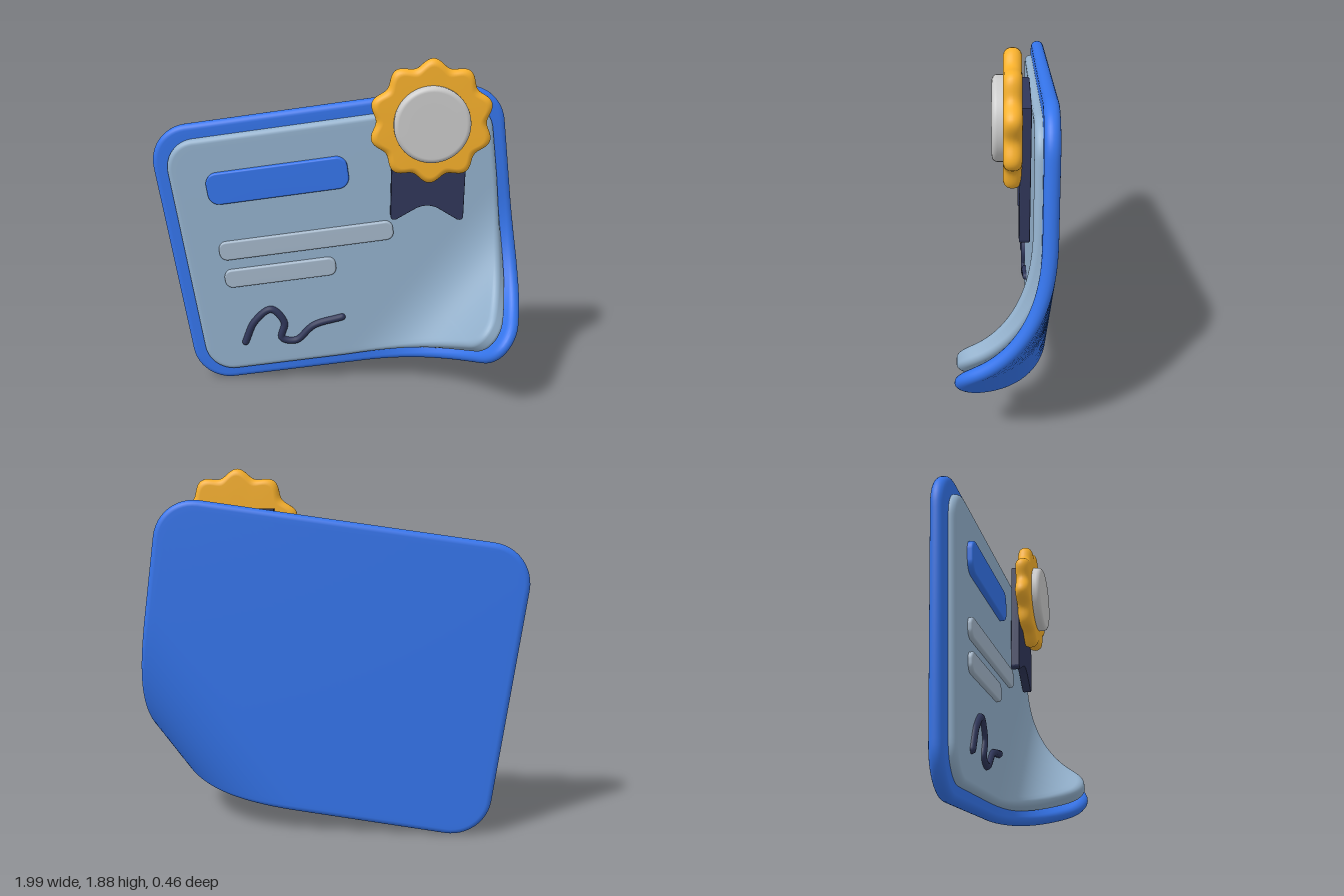
import * as THREE from 'three';

const TILT = THREE.MathUtils.degToRad(8);
const mat = (color) => new THREE.MeshStandardMaterial({ color, roughness: 0.6 });
const BLUE = mat(0x3575ec), PAPER = mat(0x94b2ce), LINE = mat(0xa5b8cb);
const DARK = mat(0x30375a), GOLD = mat(0xf8b12c), GREY = mat(0xcccccc);

// Outline of a rounded rectangle about the origin, shrunk by an inset
function roundedRect(w, h, r, edgeSteps) {
  return (inset) => {
    const pts = [], arc = 12, rad = r - inset;
    const corners = [[1, -1], [1, 1], [-1, 1], [-1, -1]];
    const at = (c, a) => new THREE.Vector2(
      corners[c][0] * (w / 2 - r) + rad * Math.cos(a),
      corners[c][1] * (h / 2 - r) + rad * Math.sin(a));
    for (let c = 0; c < 4; c++) {
      const a0 = (c - 1) * Math.PI / 2, a1 = a0 + Math.PI / 2;
      for (let i = 0; i <= arc; i++) pts.push(at(c, a0 + (a1 - a0) * i / arc));
      const from = at(c, a1), to = at((c + 1) % 4, a1);
      for (let i = 1; i < edgeSteps; i++) pts.push(from.clone().lerp(to, i / edgeSteps));
    }
    return pts;
  };
}

// Round outline with optional wavy lobes
function lobedCircle(r, amp, lobes, steps) {
  return (inset) => Array.from({ length: steps }, (_, i) => {
    const a = i / steps * Math.PI * 2;
    const rad = r - inset + amp * Math.cos(lobes * (a - Math.PI / 2));
    return new THREE.Vector2(rad * Math.cos(a), rad * Math.sin(a));
  });
}

// Soft-edged slab: rings run from the front centre, round the rim, to the back centre
function slab(outline, z0, z1, bevel, fill, place) {
  const rings = [], edge = 6;
  const add = (inset, scale, z) =>
    rings.push(outline(inset).map((p) => place(p.x * scale, p.y * scale, z)));
  for (let k = 0; k < fill; k++) add(bevel, k / fill, z1);
  for (let k = 0; k <= edge; k++) {
    const a = k / edge * Math.PI / 2;
    add(bevel * (1 - Math.sin(a)), 1, z1 - bevel * (1 - Math.cos(a)));
  }
  for (let k = 0; k <= edge; k++) {
    const a = k / edge * Math.PI / 2;
    add(bevel * (1 - Math.cos(a)), 1, z0 + bevel * (1 - Math.sin(a)));
  }
  for (let k = fill - 1; k >= 0; k--) add(bevel, k / fill, z0);

  const n = rings[0].length, pos = [], index = [];
  rings.forEach((ring) => ring.forEach((p) => pos.push(p.x, p.y, p.z)));
  for (let k = 0; k < rings.length - 1; k++) {
    for (let i = 0; i < n; i++) {
      const j = (i + 1) % n, a = k * n + i, b = k * n + j;
      index.push(a, a + n, b + n, a, b + n, b);
    }
  }
  const g = new THREE.BufferGeometry();
  g.setAttribute('position', new THREE.Float32BufferAttribute(pos, 3));
  g.setIndex(index);
  g.computeVertexNormals();
  return g;
}

// Rolls the lower corner forward along a diagonal, then tilts the sheet
function curl(cu, cv, lead) {
  return (x, y, w) => {
    const u = x + cu, v = y + cv;
    const s = (u - v) * Math.SQRT1_2, across = (u + v) * Math.SQRT1_2;
    const t = Math.max(0, s + lead);
    const rise = 1.375 * Math.pow(t, 2.415);
    const pull = 1.05 * Math.pow(t, 4);
    const dz = 1.375 * 2.415 * Math.pow(t, 1.415), ds = 1 - 4.2 * Math.pow(t, 3);
    const len = Math.hypot(dz, ds);
    const s2 = s - pull - w * dz / len;
    const z = -0.21 + rise + w * ds / len;
    return new THREE.Vector3((across + s2) * Math.SQRT1_2, (across - s2) * Math.SQRT1_2, z)
      .applyAxisAngle(new THREE.Vector3(0, 0, 1), TILT);
  };
}

export function createModel() {
  const model = new THREE.Group();
  const add = (name, geometry, material) => {
    const mesh = new THREE.Mesh(geometry, material);
    mesh.name = name;
    model.add(mesh);
    return mesh;
  };
  const flat = (x, y, z) => new THREE.Vector3(x, y, z);

  // Curled backing and the paper on it
  add('backing', slab(roundedRect(1.90, 1.525, 0.21, 40), -0.035, 0.035, 0.032, 30,
    curl(0.14, 0.856, 0)), BLUE);
  add('paper', slab(roundedRect(1.75, 1.375, 0.16, 40), -0.02, 0.072, 0.03, 30,
    curl(0.145, 0.853, 0.075)), PAPER);

  // Title bar and text lines
  const bars = [
    ['titleBar', -0.324, 1.23, 0.765, 0.175, 0.06, -0.108, BLUE],
    ['upperTextLine', -0.176, 0.888, 0.965, 0.107, 0.042, -0.115, LINE],
    ['lowerTextLine', -0.32, 0.70, 0.625, 0.105, 0.042, -0.115, LINE],
  ];
  for (const [name, x, y, w, h, r, front, material] of bars) {
    const bar = add(name, slab(roundedRect(w, h, r, 2), -0.15, front, 0.01, 1, flat), material);
    bar.position.set(x, y, 0);
    bar.rotation.z = TILT;
  }

  // Handwritten squiggle with round ends
  const path = [[-0.53, 0.267], [-0.473, 0.396], [-0.377, 0.472], [-0.305, 0.39],
    [-0.32, 0.295], [-0.24, 0.28], [-0.136, 0.374], [0.024, 0.426]]
    .map(([x, y]) => new THREE.Vector3(x, y, -0.135));
  add('squiggle', new THREE.TubeGeometry(new THREE.CatmullRomCurve3(path), 90, 0.02, 12), DARK);
  for (const p of [path[0], path[path.length - 1]]) {
    add('squiggleEnd', new THREE.SphereGeometry(0.02, 12, 8), DARK).position.copy(p);
  }

  // Ribbon tail with a notched foot
  const cx = 0.478, cy = 1.565;
  const tail = new THREE.Shape();
  tail.moveTo(-0.19, 1.68);
  tail.lineTo(-0.19, 1.045);
  tail.quadraticCurveTo(-0.188, 1.025, -0.165, 1.032);
  tail.lineTo(-0.06, 1.095);
  tail.quadraticCurveTo(0, 1.125, 0.06, 1.095);
  tail.lineTo(0.165, 1.032);
  tail.quadraticCurveTo(0.188, 1.025, 0.19, 1.045);
  tail.lineTo(0.19, 1.68);
  const ribbon = add('ribbonTail', new THREE.ExtrudeGeometry(tail, {
    depth: 0.04, bevelEnabled: true, bevelSize: 0.005, bevelThickness: 0.005,
    bevelSegments: 2, curveSegments: 8,
  }), DARK);
  ribbon.position.set(cx, 0, -0.125);

  // Scalloped rosette and its centre disc
  add('rosette', slab(lobedCircle(0.302, 0.019, 10, 160), -0.09, -0.008, 0.038, 3, flat), GOLD)
    .position.set(cx, cy, 0);
  add('centreDisc', slab(lobedCircle(0.195, 0, 1, 64), -0.04, 0.042, 0.025, 3, flat), GREY)
    .position.set(cx, cy - 0.004, 0);

  return model;
}
